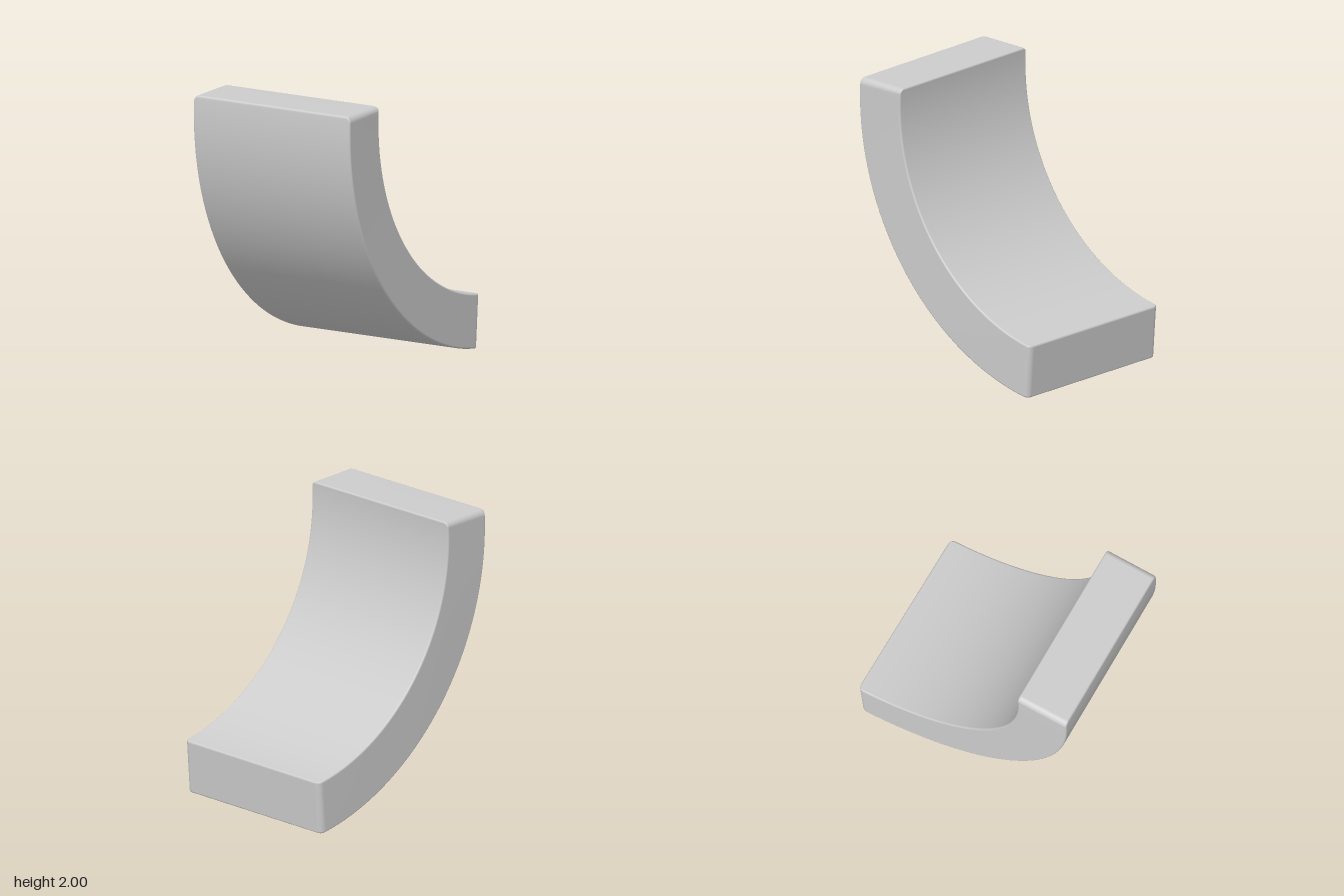
import * as THREE from 'three';

const HALF_WIDTH = 0.65;
const R_IN = 1.493, R_OUT = 1.885;          // arc radii of the two curved faces
const CENTRE_Z = -1.03, CENTRE_Y = 1.874;   // arc centre
const LENGTH = 2.58;
const END_ROUND = 0.045;                    // rounding where the ends meet the sides
const LIP_ROUND = 0.014;                    // finer rounding of the other edges

// Rounded-rectangle section, counter-clockwise in (width, thickness)
function section(halfW, halfT, r, steps = 4) {
  const pts = [];
  [[1, 1], [-1, 1], [-1, -1], [1, -1]].forEach(([sx, sy], q) => {
    for (let i = 0; i <= steps; i++) {
      const a = (q + i / steps) * Math.PI / 2;
      pts.push([sx * (halfW - r) + r * Math.cos(a), sy * (halfT - r) + r * Math.sin(a)]);
    }
  });
  return pts;
}

// How far an edge of radius r is pulled in at distance d from an end
const inset = (d, r) => (d >= r ? 0 : r - Math.sqrt(r * r - (r - d) ** 2));

// Bend a point (width x, radius r, fraction s along the length) around the arc
function bend(x, r, s) {
  const k = (r - R_IN) / (R_OUT - R_IN);
  const start = Math.asin((2 - CENTRE_Y) / r);                       // level top cut
  const end = THREE.MathUtils.degToRad(-82.6 - 0.75 * k);            // near-radial lower cut
  const twist = -0.0167 * x * s / r;                                 // slight skew of the lower end
  const a = start + (end - start) * s - twist;
  const mid = THREE.MathUtils.degToRad(4.3 - 87.3 * s);
  const drift = -0.02 + 0.024 * 1.69 * (1 - Math.cos(mid));          // slight sideways drift
  return [x + drift, CENTRE_Y + r * Math.sin(a), CENTRE_Z + r * Math.cos(a)];
}

function curvedBlockGeometry() {
  // Stations: dense at the rounded ends, even in between
  const near = [];
  for (let i = 0; i <= 4; i++) near.push(LIP_ROUND * (1 - Math.cos(i / 4 * Math.PI / 2)));
  for (let i = 1; i <= 5; i++) near.push(LIP_ROUND + (END_ROUND - LIP_ROUND) * i / 5);
  const stations = [...near];
  for (let i = 1; i < 64; i++) stations.push(END_ROUND + (LENGTH - 2 * END_ROUND) * i / 64);
  stations.push(...near.map((d) => LENGTH - d).reverse());

  const pos = [], index = [];
  const rMid = (R_IN + R_OUT) / 2, halfT = (R_OUT - R_IN) / 2;
  let n = 0;
  for (const d of stations) {
    const e = Math.min(d, LENGTH - d);
    const ring = section(HALF_WIDTH - inset(e, END_ROUND), halfT - inset(e, LIP_ROUND), LIP_ROUND);
    n = ring.length;
    for (const [x, t] of ring) pos.push(...bend(x, rMid + t, d / LENGTH));
  }
  const last = (stations.length - 1) * n;
  for (let i = 0; i < last; i += n) {
    for (let j = 0; j < n; j++) {
      const k = (j + 1) % n;
      index.push(i + j, i + k, i + n + j, i + k, i + n + k, i + n + j);
    }
  }
  // End caps
  const c0 = pos.length / 3, c1 = c0 + 1;
  pos.push(...bend(0, rMid, 0), ...bend(0, rMid, 1));
  for (let j = 0; j < n; j++) {
    const k = (j + 1) % n;
    index.push(c0, k, j, c1, last + j, last + k);
  }
  const geo = new THREE.BufferGeometry();
  geo.setAttribute('position', new THREE.Float32BufferAttribute(pos, 3));
  geo.setIndex(index);
  geo.computeVertexNormals();
  return geo;
}

export function createModel() {
  const group = new THREE.Group();
  group.name = 'curvedBlockModel';
  const block = new THREE.Mesh(
    curvedBlockGeometry(),
    new THREE.MeshStandardMaterial({ color: 0xcccccc })
  );
  block.name = 'curvedBlock';
  group.add(block);
  return group;
}
